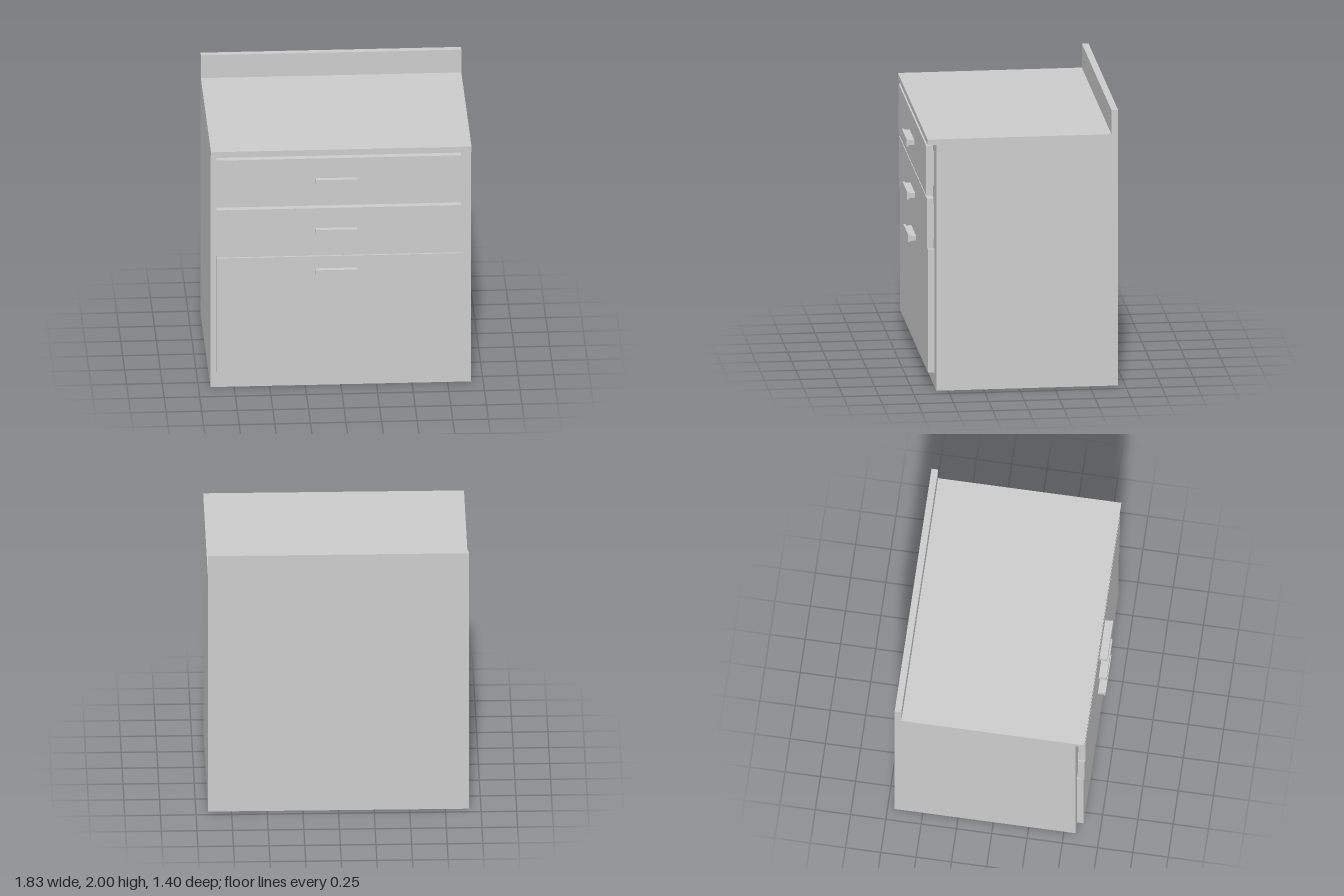
import * as THREE from 'three';

const material = new THREE.MeshStandardMaterial({ color: 0xcccccc, flatShading: true });

// Box given by its extents along each axis
function block(name, [x0, x1], [y0, y1], [z0, z1]) {
  const mesh = new THREE.Mesh(new THREE.BoxGeometry(x1 - x0, y1 - y0, z1 - z0), material);
  mesh.position.set((x0 + x1) / 2, (y0 + y1) / 2, (z0 + z1) / 2);
  mesh.name = name;
  return mesh;
}

// Drawer: front panel, recessed box behind it, and a T-shaped pull
function drawer(name, { y, inner, front, pullY }) {
  const group = new THREE.Group();
  group.name = name;
  const back = front - 0.048;
  const pullX = [-0.18, 0.11];
  group.add(
    block('drawerFront', [-0.875, 0.842], y, [back, front]),
    block('drawerBox', [-0.8, 0.77], inner, [0.5, back]),
    block('handleStem', pullX, [pullY - 0.018, pullY + 0.018], [front, front + 0.045]),
    block('handleGrip', pullX, [pullY - 0.027, pullY + 0.027], [front + 0.041, front + 0.056])
  );
  return group;
}

export function createModel() {
  const model = new THREE.Group();
  model.name = 'drawerCabinet';
  const width = [-0.915, 0.915];

  // Carcass, worktop with front overhang, and rear upstand
  model.add(
    block('cabinetBody', width, [0, 1.785], [-0.7, 0.583]),
    block('worktop', width, [1.785, 1.825], [-0.7, 0.645]),
    block('backsplash', width, [1.825, 2], [-0.7, -0.653])
  );

  // Three drawers, each pulled out slightly further than the one below
  model.add(
    drawer('topDrawer', { y: [1.4, 1.76], inner: [1.45, 1.695], front: 0.646, pullY: 1.591 }),
    drawer('middleDrawer', { y: [1.015, 1.377], inner: [1.063, 1.313], front: 0.641, pullY: 1.207 }),
    drawer('bottomDrawer', { y: [0.115, 1.006], inner: [0.22, 0.943], front: 0.634, pullY: 0.896 })
  );
  return model;
}
